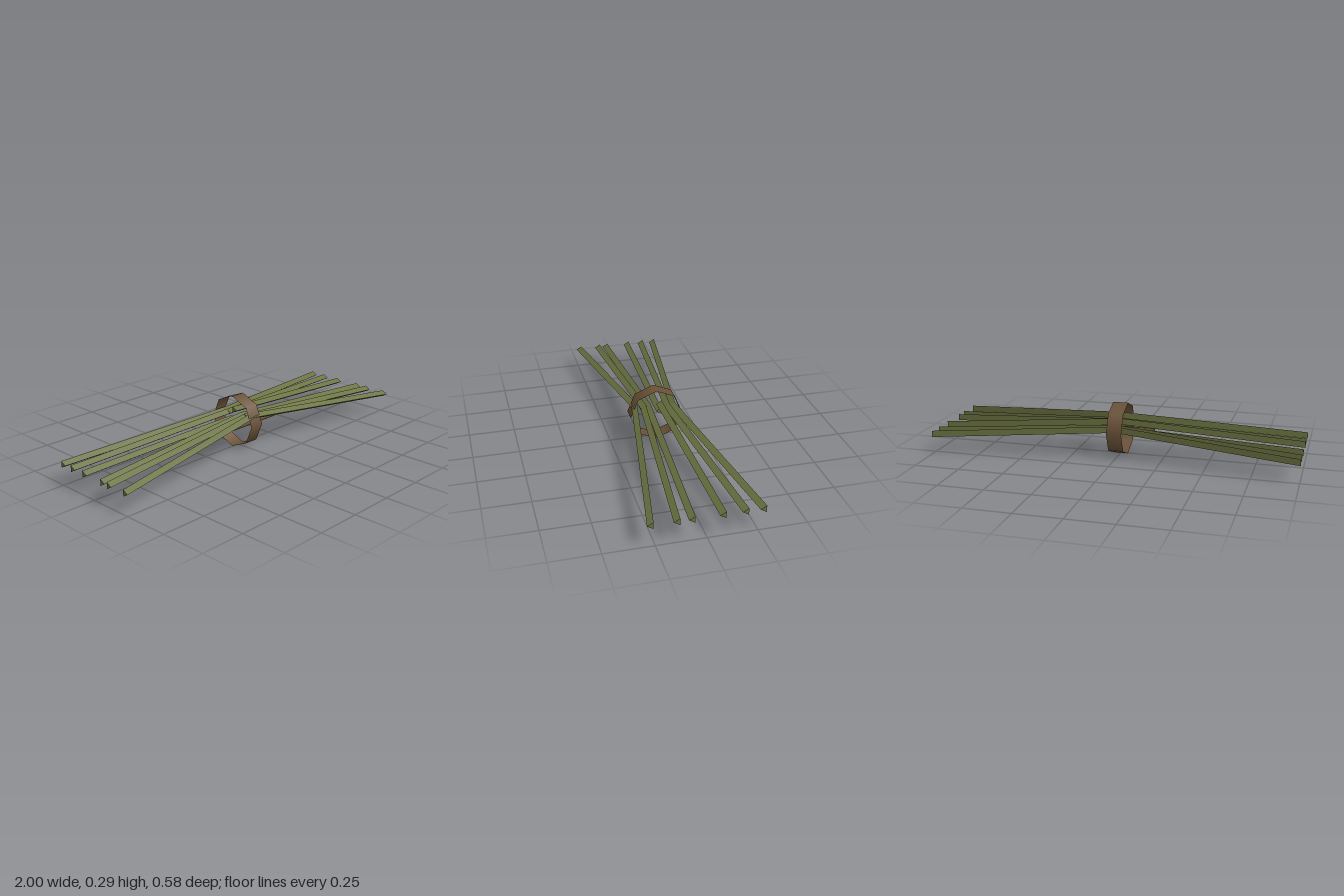
import * as THREE from 'three';

export function createModel() {
  const model = new THREE.Group();
  model.name = 'tiedBundle';

  const green = new THREE.MeshStandardMaterial({ color: 0x6b7241 });
  green.name = 'stalkGreen';
  green.flatShading = true;
  const brown = new THREE.MeshStandardMaterial({ color: 0x6b5238, side: THREE.DoubleSide });
  brown.name = 'bindingBrown';

  // Three-sided stalk, slanted from the binding to its tip with upright ends
  function stalk(side, [y0, z0, z1]) {
    const g = new THREE.CylinderGeometry(0.0205, 0.0205, 1, 3);
    g.rotateZ(-Math.PI / 2);
    g.translate(side * 0.5, 0, 0);
    const p = g.attributes.position;
    for (let i = 0; i < p.count; i++) {
      const t = Math.abs(p.getX(i));
      p.setY(i, p.getY(i) + THREE.MathUtils.lerp(y0, 0.1125, t));
      p.setZ(i, p.getZ(i) + THREE.MathUtils.lerp(z0, z1, t));
    }
    g.computeVertexNormals();
    const mesh = new THREE.Mesh(g, green);
    mesh.name = side > 0 ? 'leftStalk' : 'rightStalk';
    model.add(mesh);
  }

  // Each entry: height and depth at the binding, depth at the tip
  const leftStalks = [
    [0.190, 0.105, 0.268], [0.172, 0.055, 0.142], [0.174, 0.027, 0.070],
    [0.192, -0.033, -0.080], [0.167, -0.078, -0.190], [0.167, -0.112, -0.278],
  ];
  const rightStalks = [
    [0.188, 0.105, 0.235], [0.170, 0.052, 0.115], [0.174, 0.027, 0.065],
    [0.145, -0.033, -0.075], [0.167, -0.080, -0.168], [0.167, -0.112, -0.245],
  ];
  leftStalks.forEach((s) => stalk(1, s));
  rightStalks.forEach((s) => stalk(-1, s));

  // Open binding band around the middle
  const bandGeo = new THREE.CylinderGeometry(0.145, 0.145, 0.084, 8, 1, true);
  bandGeo.rotateZ(-Math.PI / 2);
  const band = new THREE.Mesh(bandGeo, brown);
  band.name = 'bindingBand';
  band.position.set(0, 0.145, -0.005);
  model.add(band);

  // Short twig tucked under the stalks
  const twigGeo = new THREE.CylinderGeometry(0.013, 0.013, 0.42, 6);
  twigGeo.rotateZ(-Math.PI / 2);
  const twig = new THREE.Mesh(twigGeo, brown);
  twig.name = 'twig';
  twig.position.set(0.03, 0.128, 0.045);
  model.add(twig);

  return model;
}
